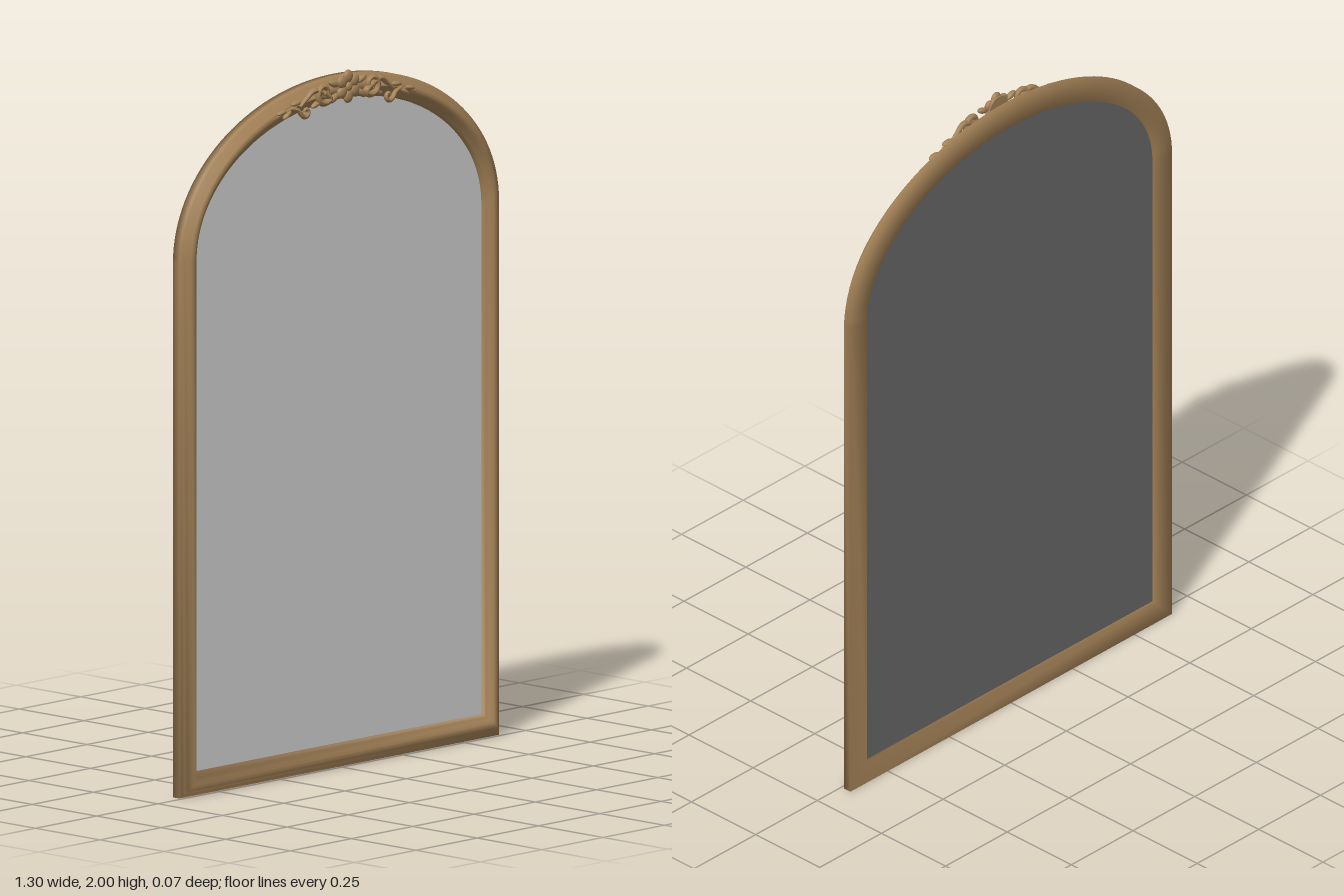
import * as THREE from 'three';

const SPRING = 1.53, HALF_W = 0.652, RISE = 0.45, ARC = 64;

// Arched outline, inset by d, counter-clockwise from the bottom right corner
function outline(d) {
  const pts = [new THREE.Vector2(HALF_W - d, d)];
  for (let i = 0; i <= ARC; i++) {
    const t = (i / ARC) * Math.PI;
    pts.push(new THREE.Vector2((HALF_W - d) * Math.cos(t), SPRING + (RISE - d) * Math.sin(t)));
  }
  pts.push(new THREE.Vector2(-HALF_W + d, d));
  return pts;
}

// Height of the arch at x, for a line inset by d
const archY = (x, d) => SPRING + (RISE - d) * Math.sqrt(1 - (x / (HALF_W - d)) ** 2);

// Moulding profile [inset, z] swept round the outline with mitred corners, softly shaded
function frameGeometry() {
  const profile = [
    [0, -0.035], [0, -0.01], [0.008, -0.007], [0.012, 0], [0.020, 0.003], [0.026, 0.011],
    [0.035, 0.015], [0.044, 0.012], [0.052, 0.004], [0.060, -0.002], [0.068, -0.008], [0.068, -0.035],
  ];
  const rings = profile.map(([d, z]) => outline(d).map((p) => [p.x, p.y, z]));
  const n = rings[0].length, m = rings.length;
  const pos = [], index = [];
  for (const ring of rings) for (const p of ring) pos.push(...p);
  for (let j = 0; j < m; j++) {
    for (let i = 0; i < n; i++) {
      const i2 = (i + 1) % n, j2 = (j + 1) % m;
      const a = j * n + i, b = j * n + i2, c = j2 * n + i2, d = j2 * n + i;
      index.push(a, b, c, a, c, d);
    }
  }
  const g = new THREE.BufferGeometry();
  g.setAttribute('position', new THREE.Float32BufferAttribute(pos, 3));
  g.setIndex(index);
  g.computeVertexNormals();
  return g;
}

// Tube whose radius follows radiusAt(0..1)
function taperedTube(points, radiusAt, segments = 40) {
  const curve = new THREE.CatmullRomCurve3(points);
  const sides = 8;
  const g = new THREE.TubeGeometry(curve, segments, 1, sides);
  const pos = g.attributes.position, v = new THREE.Vector3();
  for (let i = 0; i <= segments; i++) {
    const c = curve.getPointAt(i / segments), r = radiusAt(i / segments);
    for (let k = 0; k <= sides; k++) {
      const id = i * (sides + 1) + k;
      v.fromBufferAttribute(pos, id).sub(c).multiplyScalar(r).add(c);
      pos.setXYZ(id, v.x, v.y, v.z);
    }
  }
  g.computeVertexNormals();
  return g;
}

export function createModel() {
  const model = new THREE.Group();
  model.name = 'archedMirror';
  const mat = (name, color) => {
    const m = new THREE.MeshStandardMaterial({ color });
    m.name = name;
    return m;
  };
  const wood = mat('antiqueGold', 0xa48257);
  const silver = mat('mirrorSilver', 0xd3d3d3);
  const backing = mat('mirrorBack', 0x696969);

  const add = (parent, name, geometry, material = wood) => {
    const mesh = new THREE.Mesh(geometry, material);
    mesh.name = name;
    parent.add(mesh);
    return mesh;
  };

  add(model, 'frame', frameGeometry());

  // Mirror pane: front face and back face
  const pane = new THREE.ShapeGeometry(new THREE.Shape(outline(0.066)));
  add(model, 'mirrorFront', pane, silver).position.z = -0.014;
  const back = add(model, 'mirrorBack', pane, backing);
  back.rotation.y = Math.PI;
  back.position.z = -0.024;

  // Carved crest
  const crest = new THREE.Group();
  crest.name = 'crest';
  crest.position.z = 0.002;
  model.add(crest);
  const ball = new THREE.SphereGeometry(1, 14, 10);
  const blob = (name, x, y, z, sx, sy, sz, angle = 0) => {
    const mesh = add(crest, name, ball);
    mesh.position.set(x, y, z);
    mesh.scale.set(sx, sy, sz);
    mesh.rotation.z = angle;
  };

  // Central rosette
  const cy = 1.952;
  const disc = add(crest, 'rosetteBase', new THREE.CylinderGeometry(0.038, 0.038, 0.012, 24));
  disc.rotation.x = Math.PI / 2;
  disc.position.set(0, cy, 0.016);
  for (let k = 0; k < 6; k++) {
    const a = Math.PI / 2 + (k * Math.PI) / 3;
    blob('petal', 0.029 * Math.cos(a), cy + 0.029 * Math.sin(a), 0.022, 0.019, 0.017, 0.010, a);
  }
  blob('rosetteCentre', 0, cy, 0.025, 0.013, 0.013, 0.008);

  for (const s of [1, -1]) {
    const P = (x, y, z) => new THREE.Vector3(s * x, y, z);

    // Large volute that uncurls outwards along the arch
    const volute = [];
    for (let i = 0; i <= 14; i++) {
      const a = 0.3 + (i / 14) * Math.PI * 2.7, r = 0.007 + 0.024 * (i / 14);
      volute.push(P(0.098 + r * Math.cos(a), 1.945 - r * Math.sin(a), 0.021));
    }
    volute.push(P(0.135, 1.957, 0.019), P(0.165, 1.938, 0.017), P(0.19, 1.918, 0.016));
    add(crest, 'volute', taperedTube(volute, (t) => 0.006 + 0.004 * Math.sin(t * Math.PI), 70));
    blob('voluteEye', s * 0.098, 1.945, 0.022, 0.009, 0.009, 0.010);

    // Small curl at the inner edge
    const curl = [];
    for (let i = 0; i <= 9; i++) {
      const a = (i / 9) * Math.PI * 1.8, r = 0.004 + 0.012 * (i / 9);
      curl.push(P(0.17 + r * Math.cos(a), 1.902 + r * Math.sin(a), 0.019));
    }
    curl.push(P(0.20, 1.91, 0.018), P(0.225, 1.917, 0.016));
    add(crest, 'curl', taperedTube(curl, (t) => 0.0045 + 0.003 * Math.sin(t * Math.PI)));

    // Tail running down the moulding
    const tail = [0.13, 0.17, 0.21, 0.25, 0.29].map((x) => P(x, archY(x, 0.036), 0.012));
    add(crest, 'tail', taperedTube(tail, (t) => 0.009 - 0.0075 * t, 24));

    // Leaves beside the rosette and along the tail
    const leaves = [
      [0.057, 1.966, 0.020, 0.020, 0.009, 0.4], [0.057, 1.925, 0.020, 0.022, 0.010, -0.5],
      [0.125, 1.918, 0.018, 0.022, 0.008, -0.4], [0.205, 1.930, 0.015, 0.020, 0.007, -0.1],
      [0.24, 1.902, 0.014, 0.019, 0.007, -0.6], [0.262, 1.911, 0.013, 0.018, 0.006, -0.2],
    ];
    for (const [x, y, z, l, w, a] of leaves) blob('leaf', s * x, y, z, l, w, 0.009, s * a);
  }
  return model;
}
